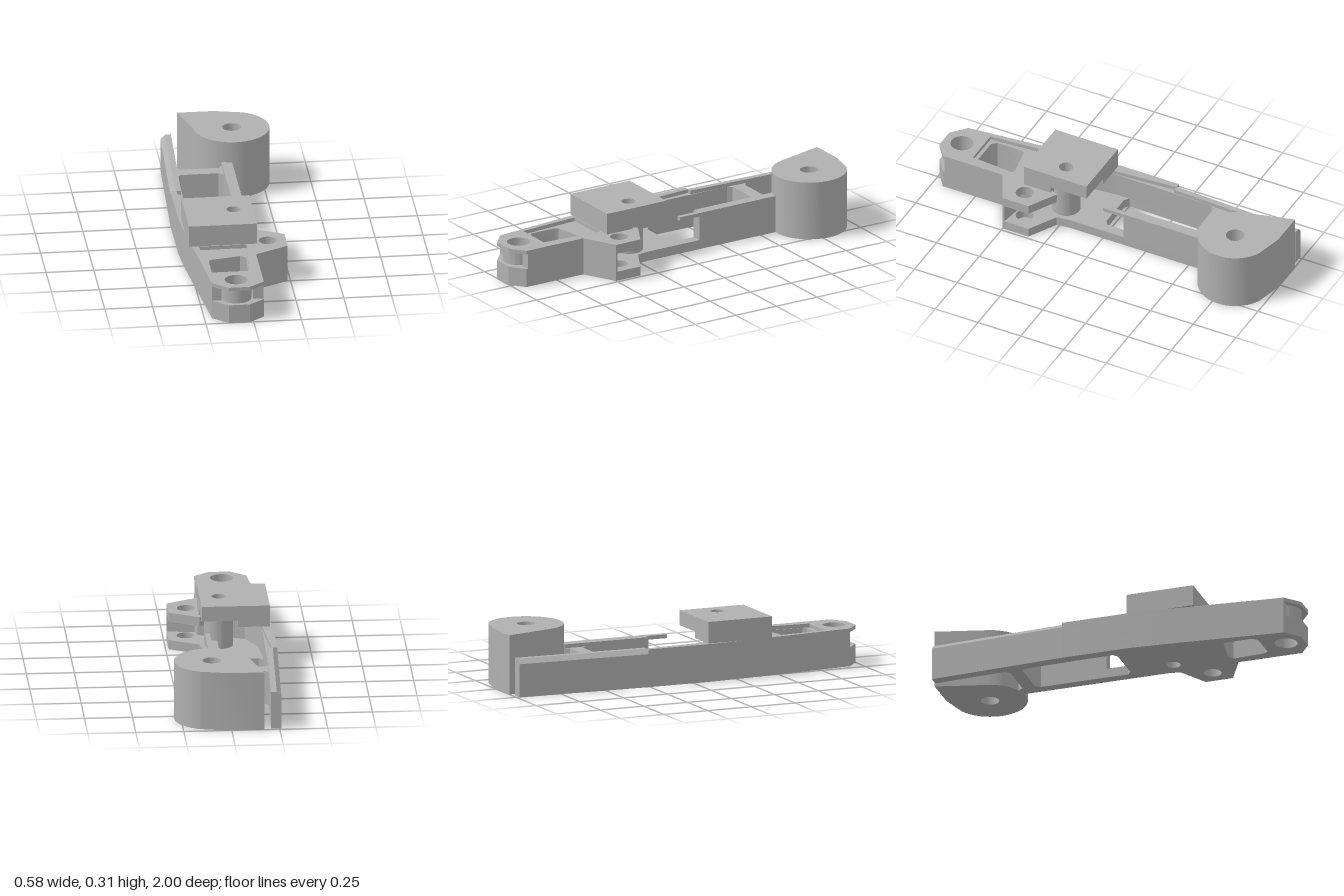
import * as THREE from 'three';
import { toCreasedNormals } from 'three/addons/utils/BufferGeometryUtils.js';
import { ConvexGeometry } from 'three/addons/geometries/ConvexGeometry.js';

export function createModel() {
  const model = new THREE.Group();
  const grey = new THREE.MeshStandardMaterial({ color: 0xb0b0b0 });
  grey.name = 'grey';

  const add = (name, geometry) => {
    const mesh = new THREE.Mesh(geometry, grey);
    mesh.name = name;
    model.add(mesh);
  };
  // Plan coordinates are [x, z]; shapes are drawn with y = -z, then laid flat
  const plan = (pts) => pts.map(([x, z]) => new THREE.Vector2(x, -z));
  const circle = (x, z, r) => new THREE.Path().absarc(x, -z, r, 0, Math.PI * 2, false);
  const slabOf = (name, shape, y0, y1, holes = []) => {
    shape.holes = holes;
    const g = new THREE.ExtrudeGeometry(shape, { depth: y1 - y0, bevelEnabled: false, curveSegments: 28 });
    g.rotateX(-Math.PI / 2).translate(0, y0, 0);
    add(name, toCreasedNormals(g, 0.5));
  };
  const slab = (name, pts, y0, y1, holes) => slabOf(name, new THREE.Shape(plan(pts)), y0, y1, holes);
  const ring = (name, x, z, r, inner, y0, y1) => {
    const s = new THREE.Shape();
    s.absarc(x, -z, r, 0, Math.PI * 2, false);
    slabOf(name, s, y0, y1, [circle(x, z, inner)]);
  };

  // Openings
  const frontWindow = () => new THREE.Path(plan([[-0.19, 0.61], [-0.18, 0.59], [-0.02, 0.56], [0.01, 0.58],
    [0.0, 0.755], [-0.015, 0.775], [-0.165, 0.775], [-0.19, 0.75]]));
  const midWindow = () => new THREE.Path(plan([[-0.21, -0.505], [-0.01, -0.505], [0.015, -0.48], [0.015, 0],
    [-0.01, 0.02], [-0.21, 0.02], [-0.235, 0], [-0.225, -0.48]]));
  const tipHole = () => circle(-0.08, 0.9, 0.06);
  const earHole = () => circle(0.14, 0.42, 0.047);
  const postHole = () => circle(-0.02, 0.26, 0.037);

  // Shared runs of the outline
  const leftEdge = [[-0.26, -0.26], [-0.29, -0.26], [-0.29, 0.1], [-0.275, 0.3]];
  const tip = [[-0.21, 0.93], [-0.13, 1], [-0.02, 1], [0.06, 0.94]];
  const slottedTip = [[-0.21, 0.93], [-0.16, 0.93], [-0.16, 0.805], [0.005, 0.805], [0.005, 0.93], [0.06, 0.93]];
  const rearBar = [[0.07, -0.6], [0.02, -0.61], [0, -0.575], [-0.2, -0.575], [-0.225, -0.6], [-0.255, -0.6]];
  const ear = [[0.06, 0.59], [0.235, 0.5], [0.235, 0.35], [0.08, 0.265]];

  // Floor of the arm
  slab('floor', [...rearBar, ...leftEdge, ...tip, ...ear, [0.07, 0.2]], 0, 0.05,
    [frontWindow(), midWindow(), tipHole(), earHole(), postHole()]);

  // Walls, open on the left side around the post
  const walls = (front) => [[0.07, -0.12], ...rearBar, ...leftEdge, ...front, [0.06, 0.59], [0.235, 0.5],
    [0.235, 0.49], [0.09, 0.47], [0.08, 0.42], [-0.02, 0.4], [-0.16, 0.34], [-0.22, 0.22], [-0.235, 0.05],
    [-0.225, -0.48], [-0.21, -0.505], [-0.01, -0.505], [0.015, -0.48], [0.015, -0.12]];
  slab('lowerWalls', walls(tip), 0.05, 0.1, [frontWindow(), tipHole()]);
  slab('upperWalls', walls(slottedTip), 0.1, 0.18, [frontWindow()]);
  ring('tipBushing', -0.08, 0.9, 0.08, 0.06, 0.1, 0.18);

  // Top layer with a shallow recess around the front window
  slab('topPlate', [...leftEdge, ...tip, ...ear, [0.06, 0.3], [-0.1, 0.3], [-0.235, 0.1]], 0.18, 0.2,
    [new THREE.Path(plan([[-0.225, 0.46], [-0.2, 0.795], [0, 0.795], [0.025, 0.46]])), tipHole(), earHole()]);
  // Fill between the recess floor and the solid front body
  slab('earPlate', [[0.235, 0.49], [0.235, 0.35], [0.08, 0.265], [0, 0.3], [0, 0.405], [0.08, 0.42], [0.09, 0.47]],
    0.15, 0.18, [earHole()]);
  slab('sideWallTop', [[0.015, -0.6], [0.07, -0.6], [0.07, 0], [0.045, 0], [0.045, -0.12], [0.015, -0.12]], 0.18, 0.2);

  // Long rear rail with a chamfered outer edge
  const rail = [];
  for (const [z, outer, inner] of [[-0.985, -0.26, -0.205], [-0.26, -0.29, -0.235]]) {
    for (const [x, y] of [[outer, 0], [outer, 0.175], [outer + 0.025, 0.2], [inner, 0.2], [inner, 0]]) {
      rail.push(new THREE.Vector3(x, y, z));
    }
  }
  add('rearRail', new ConvexGeometry(rail));

  // Post and the square block it carries
  ring('post', -0.02, 0.26, 0.075, 0.037, 0.05, 0.235);
  slab('block', [[-0.275, 0.09], [0.08, 0.09], [0.08, 0.455], [-0.275, 0.455]], 0.235, 0.314, [postHole()]);
  slab('blockBase', [[-0.275, 0.09], [-0.11, 0.09], [-0.11, 0.3], [0.08, 0.3], [0.08, 0.455], [-0.275, 0.455]], 0.2, 0.235);

  // Tall teardrop drum at the rear
  const drum = new THREE.Shape();
  drum.moveTo(-0.17, 1);
  drum.lineTo(0.02, 1);
  drum.lineTo(0.16, 0.967);
  drum.absarc(0.09, 0.785, 0.196, 1.2, -2.86, true);
  drum.closePath();
  slabOf('drum', drum, 0, 0.314, [circle(0.09, -0.785, 0.048)]);

  return model;
}
